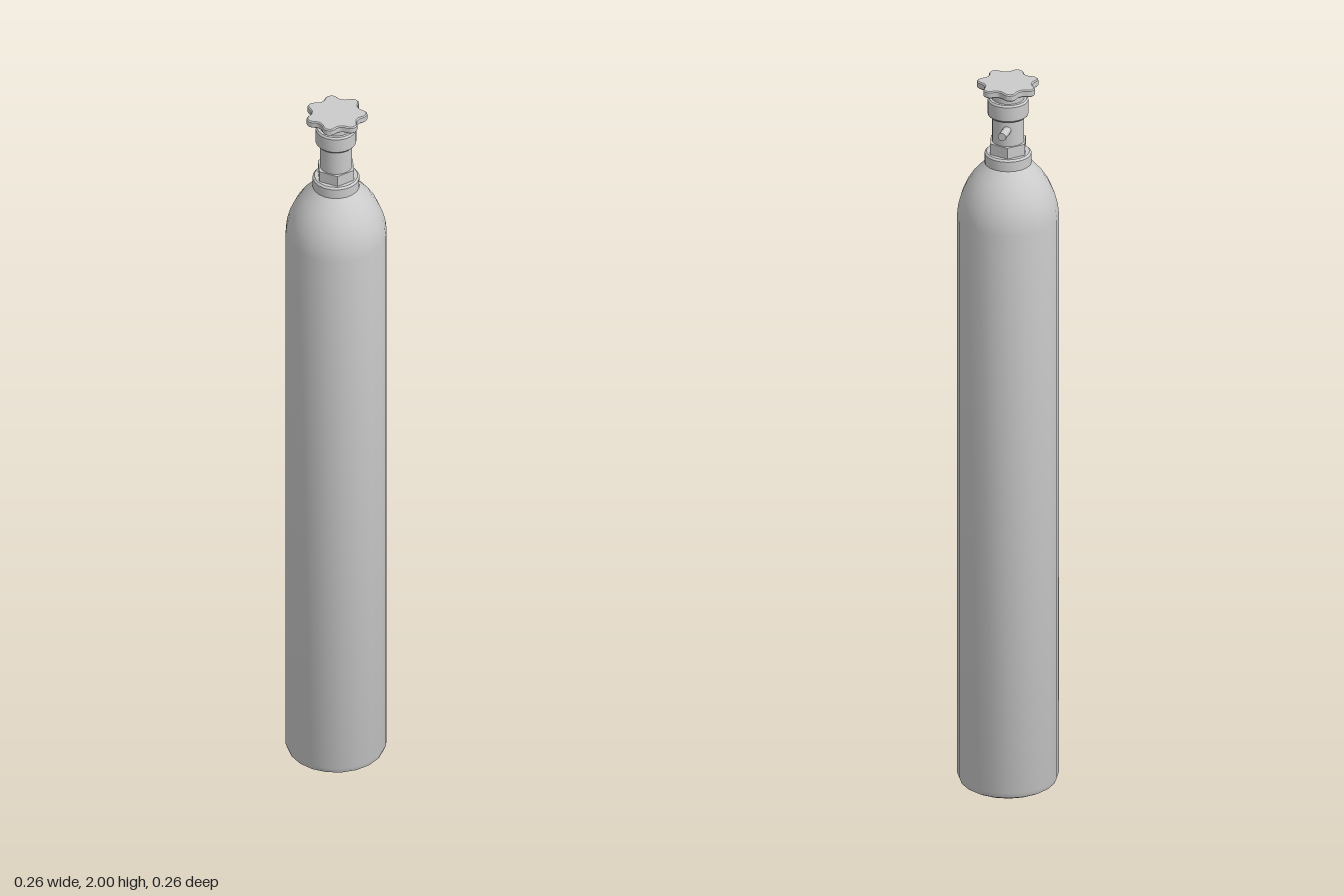
import * as THREE from 'three';
import { toCreasedNormals } from 'three/addons/utils/BufferGeometryUtils.js';

const material = new THREE.MeshStandardMaterial({ color: 0xcccccc });

export function createModel() {
  const model = new THREE.Group();

  const add = (name, geometry, crease = 0.6) => {
    const mesh = new THREE.Mesh(toCreasedNormals(geometry, crease), material);
    mesh.name = name;
    model.add(mesh);
    return mesh;
  };
  // Turned part from [radius, height] pairs, bottom to top
  const turned = (name, profile, sides = 20) =>
    add(name, new THREE.LatheGeometry(profile.map(([r, y]) => new THREE.Vector2(r, y)), sides));

  // Tank with rounded foot and domed shoulder
  turned('tank', [
    [0, 0], [0.116, 0], [0.126, 0.006], [0.132, 0.022], [0.132, 1.62], [0.129, 1.65],
    [0.121, 1.68], [0.108, 1.71], [0.09, 1.738], [0.073, 1.757], [0.06, 1.772], [0, 1.772],
  ]);

  // Neck ring
  turned('neckRing', [[0, 1.765], [0.061, 1.765], [0.061, 1.798], [0.056, 1.803], [0, 1.803]]);

  // Hexagonal nut at the foot of the valve
  const nut = add('valveNut', new THREE.CylinderGeometry(0.052, 0.052, 0.034, 6), 0.3);
  nut.position.y = 1.817;
  nut.rotation.y = Math.PI / 12;

  // Valve stem with a bevelled ring
  turned('valveStem', [[0, 1.82], [0.042, 1.82], [0.042, 1.983], [0, 1.983]]);
  turned('valveRing', [
    [0.04, 1.906], [0.049, 1.906], [0.053, 1.911], [0.053, 1.95], [0.049, 1.955], [0.04, 1.955],
  ]);

  // Outlet pin at the back
  const outlet = add('outlet', new THREE.CylinderGeometry(0.011, 0.011, 0.06, 12));
  outlet.rotation.x = Math.PI / 2;
  outlet.position.set(-0.009, 1.88, -0.052);

  // Handwheel with seven rounded lobes
  const lobes = 7, steps = 10, outline = [];
  for (let i = 0; i < lobes * steps; i++) {
    const a = (i / (lobes * steps)) * Math.PI * 2;
    const wave = Math.cos(a * lobes);
    const r = 0.0725 + 0.0085 * Math.sin(wave * 1.3) / Math.sin(1.3);
    outline.push(new THREE.Vector2(r * Math.cos(a), r * Math.sin(a)));
  }
  const wheel = add('handwheel', new THREE.ExtrudeGeometry(new THREE.Shape(outline), {
    depth: 0.014, bevelThickness: 0.003, bevelSize: 0.003, bevelOffset: -0.003, bevelSegments: 1,
  }));
  wheel.rotation.set(-Math.PI / 2, 0, 0.148);
  wheel.position.y = 1.983;

  return model;
}
